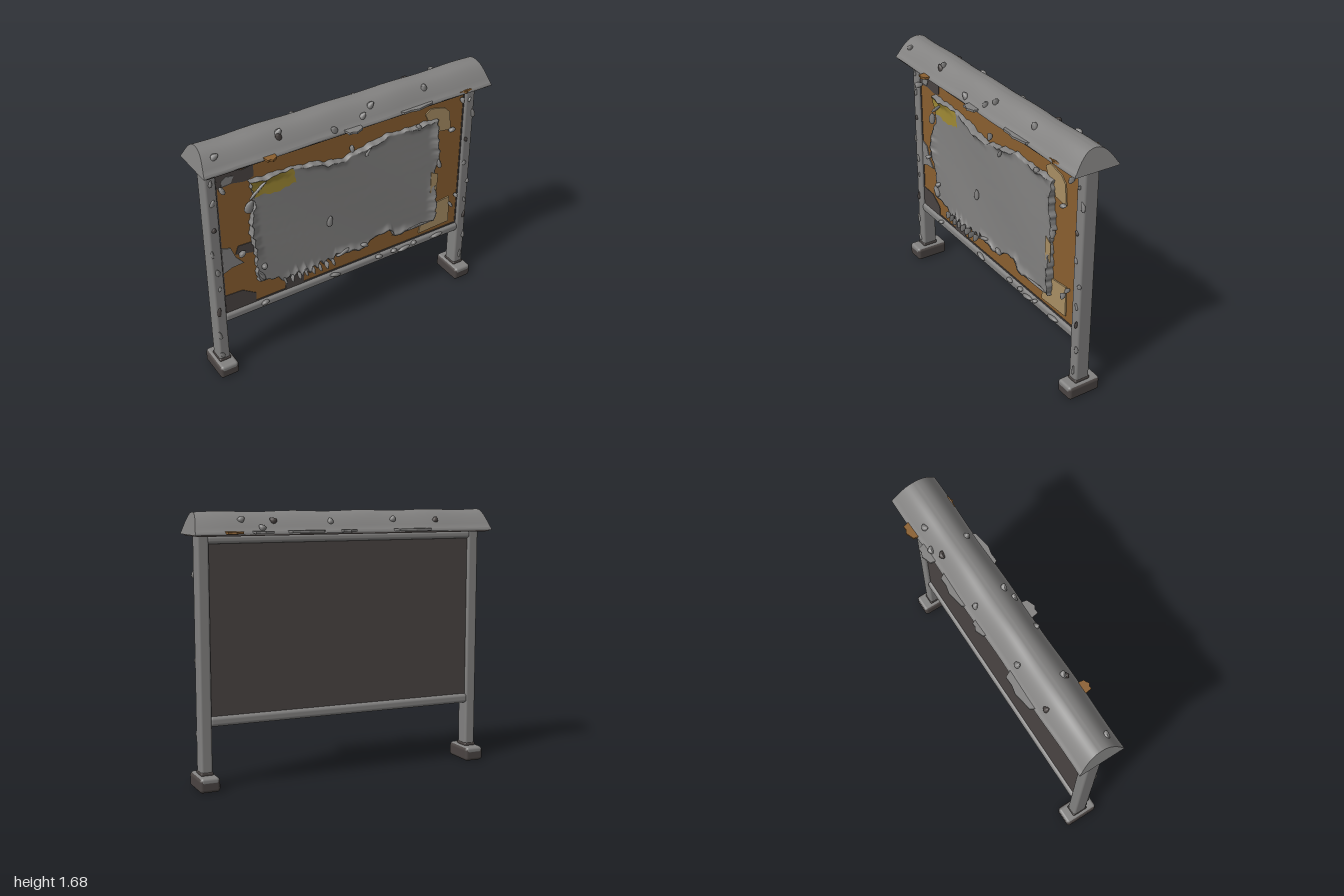
import * as THREE from 'three';
import { toCreasedNormals } from 'three/addons/utils/BufferGeometryUtils.js';
import { RoundedBoxGeometry } from 'three/addons/geometries/RoundedBoxGeometry.js';
import { ParametricGeometry } from 'three/addons/geometries/ParametricGeometry.js';

export function createModel() {
  const model = new THREE.Group();
  model.name = 'noticeBoard';
  const mat = (name, color) => {
    const m = new THREE.MeshStandardMaterial({ color, side: THREE.DoubleSide });
    m.name = name;
    return m;
  };
  const grey = mat('weatheredGrey', 0x828180);
  const dark = mat('darkBrownGrey', 0x4a4442);
  const wood = mat('rustyWood', 0x8a5f2f);
  const yellow = mat('fadedYellow', 0xa08a35);
  const beige = mat('agedBeige', 0xa88e64);

  const add = (name, geometry, material, x = 0, y = 0, z = 0) => {
    const mesh = new THREE.Mesh(geometry, material);
    mesh.name = name;
    mesh.position.set(x, y, z);
    model.add(mesh);
    return mesh;
  };
  const box = (name, material, w, h, d, x, y, z, r = 0.015) =>
    add(name, new RoundedBoxGeometry(w, h, d, 3, r), material, x, y, z);
  const outline = pts => new THREE.Shape(pts.map(p => new THREE.Vector2(p[0], p[1])));
  let seed = 7;
  const rand = () => (seed = (seed * 16807) % 2147483647) / 2147483647;

  // Piecewise linear lookup through [position, value] pairs
  const lookup = (pts, t) => {
    for (let i = 1; i < pts.length; i++) {
      const [a, va] = pts[i - 1], [b, vb] = pts[i];
      if (t <= b) return va + (vb - va) * Math.max(0, (t - a) / (b - a));
    }
    return pts[pts.length - 1][1];
  };

  // Posts, feet and rails
  for (const s of [-1, 1]) {
    box('post', grey, 0.073, 1.48, 0.1, s * 0.922, 0.81, 0);
    box('foot', dark, 0.13, 0.088, 0.224, s * 0.922, 0.044, 0, 0.02);
    box('footCap', grey, 0.118, 0.045, 0.226, s * 0.922, 0.07, 0, 0.018);
    box('postCollar', dark, 0.08, 0.025, 0.108, s * 0.922, 0.1, 0, 0.01);
  }
  box('bottomRail', grey, 1.8, 0.062, 0.1, 0, 0.418, 0, 0.022);
  box('topRail', grey, 1.8, 0.05, 0.1, 0, 1.512, 0, 0.02);

  // Board with a dark back
  add('boardFront', new THREE.BoxGeometry(1.78, 1.06, 0.025), wood, 0, 0.97, 0.018);
  add('boardBack', new THREE.BoxGeometry(1.78, 1.06, 0.035), dark, 0, 0.97, -0.012);
  for (const s of [-1, 1]) {
    add('boardSideGap', new THREE.BoxGeometry(0.01, 1.04, 0.006), dark, s * 0.882, 0.97, 0.031);
    add('boardEdgeGap', new THREE.BoxGeometry(1.77, 0.01, 0.006), dark, 0, 0.97 + s * 0.515, 0.031);
  }

  // Roof: arched profile swept along x, ends leaning inwards
  const roofProfile = new THREE.Shape();
  roofProfile.moveTo(-0.148, 1.542);
  roofProfile.lineTo(0.148, 1.542);
  roofProfile.quadraticCurveTo(0.15, 1.555, 0.137, 1.565);
  roofProfile.quadraticCurveTo(0.08, 1.66, 0.035, 1.673);
  roofProfile.quadraticCurveTo(0, 1.685, -0.035, 1.673);
  roofProfile.quadraticCurveTo(-0.08, 1.66, -0.137, 1.565);
  roofProfile.quadraticCurveTo(-0.15, 1.555, -0.148, 1.542);
  const roof = new THREE.ExtrudeGeometry(roofProfile, { depth: 2, steps: 40, bevelEnabled: false, curveSegments: 8 });
  roof.translate(0, 0, -1).rotateY(Math.PI / 2);
  const rp = roof.attributes.position;
  for (let i = 0; i < rp.count; i++) {
    const x = rp.getX(i), y = rp.getY(i), h = (y - 1.542) / 0.138;
    rp.setX(i, x * (1 - 0.03 * h));
    rp.setZ(i, rp.getZ(i) * (1 + 0.02 * Math.sin(x * 9)));
    rp.setY(i, y - 0.003 * h * (1 + Math.sin(x * 13)));
  }
  add('roof', toCreasedNormals(roof, 0.7), grey);
  add('roofUnderside', new THREE.BoxGeometry(1.96, 0.008, 0.28), dark, 0, 1.538, 0);

  // Torn paint flaps along the eaves: [x, side, length, reach, material]
  for (const [x, s, len, reach, m] of [
    [-0.42, -1, 0.28, 0.045, grey], [0.02, -1, 0.12, 0.03, grey], [0.3, -1, 0.26, 0.035, grey],
    [0.58, -1, 0.14, 0.045, grey], [0.76, -1, 0.12, 0.045, wood], [-0.59, 1, 0.08, 0.05, wood],
    [-0.03, 1, 0.12, 0.05, grey], [0.43, 1, 0.26, 0.028, grey], [0.8, 1, 0.1, 0.012, wood]]) {
    const z = 0.125, e = 0.145 + reach;
    const flap = new THREE.ExtrudeGeometry(outline([[-len / 2, z], [len / 2, z], [len * 0.42, e - 0.02],
      [len * 0.15, e - 0.008], [0, e], [-len * 0.2, e - 0.012], [-len * 0.4, e - 0.01]]),
      { depth: 0.014, bevelEnabled: false });
    flap.rotateX(Math.PI / 2);
    if (s < 0) flap.rotateY(Math.PI);
    add('eaveFlap', flap, m, x, 1.562, 0);
  }

  // Flat stains and scraps on the board
  const scrap = (name, material, pts, z = 0.031, depth = 0.004) =>
    add(name, new THREE.ExtrudeGeometry(outline(pts), { depth, bevelEnabled: false }), material, 0, 0, z);
  scrap('darkStain', dark, [[-0.88, 1.37], [-0.78, 1.38], [-0.7, 1.365], [-0.64, 1.38], [-0.64, 1.46], [-0.72, 1.45], [-0.78, 1.48], [-0.88, 1.48]]);
  scrap('greyStain', grey, [[-0.85, 1.385], [-0.79, 1.39], [-0.77, 1.43], [-0.82, 1.44], [-0.85, 1.42]], 0.036);
  scrap('darkStain', dark, [[-0.88, 0.45], [-0.67, 0.45], [-0.67, 0.52], [-0.76, 0.58], [-0.88, 0.585]]);
  scrap('darkStain', dark, [[-0.46, 0.45], [-0.33, 0.45], [-0.32, 0.53], [-0.46, 0.55]]);
  scrap('darkStain', dark, [[-0.79, 0.87], [-0.67, 0.84], [-0.66, 0.92], [-0.77, 0.925]]);
  scrap('paleScrap', grey, [[-0.88, 0.76], [-0.82, 0.785], [-0.74, 0.79], [-0.79, 0.85], [-0.82, 0.93], [-0.88, 0.95]], 0.032, 0.006);
  scrap('yellowScrap', yellow, [[-0.66, 0.87], [-0.62, 0.88], [-0.615, 0.92], [-0.66, 0.925]], 0.036);
  scrap('beigeScrap', beige, [[0.63, 0.81], [0.68, 0.81], [0.685, 0.94], [0.63, 0.97]], 0.062);
  scrap('beigeScrap', beige, [[0.58, 1.405], [0.62, 1.435], [0.73, 1.41], [0.77, 1.37], [0.785, 1.235], [0.68, 1.25], [0.65, 1.34], [0.6, 1.36]], 0.032, 0.008);
  scrap('beigeScrap', beige, [[0.57, 0.487], [0.815, 0.497], [0.81, 0.7], [0.67, 0.685], [0.67, 0.565], [0.58, 0.555]], 0.032, 0.009);

  // Torn notice sheet: edges follow four ragged lines and curl forward
  const topEdge = [[-0.68, 1.365], [-0.42, 1.36], [-0.2, 1.335], [-0.16, 1.315], [-0.03, 1.295], [0.1, 1.325], [0.28, 1.36], [0.42, 1.35], [0.67, 1.355]];
  const bottomEdge = [[-0.67, 0.62], [-0.53, 0.59], [-0.5, 0.545], [-0.44, 0.57], [-0.12, 0.57], [-0.11, 0.6], [0, 0.59], [0.06, 0.565], [0.14, 0.575], [0.2, 0.61], [0.3, 0.625], [0.33, 0.615], [0.345, 0.57], [0.67, 0.57]];
  const leftEdge = [[0, -0.66], [0.3, -0.665], [0.5, -0.69], [0.66, -0.68], [0.75, -0.65], [0.9, -0.66], [1, -0.68]];
  const rightEdge = [[0, 0.675], [0.3, 0.67], [0.5, 0.66], [0.6, 0.69], [0.7, 0.68], [0.8, 0.665], [1, 0.67]];
  const sheet = (u, v, out) => {
    const x0 = -0.67 + 1.34 * u;
    const ragged = Math.sin(x0 * 47) * 0.004 + Math.sin(x0 * 91) * 0.003;
    const teeth = x0 > -0.46 && x0 < -0.12 ? 0.022 * Math.sin(x0 * 105) : 0;
    const bottom = lookup(bottomEdge, x0) + ragged + teeth;
    const y = bottom + (lookup(topEdge, x0) + ragged - bottom) * v;
    const jag = 0.005 * Math.sin(v * 60) + 0.003 * Math.sin(v * 113);
    const left = lookup(leftEdge, v) + jag, right = lookup(rightEdge, v) - jag;
    const near = Math.max(0, 1 - Math.min(u, 1 - u, v * 0.7, (1 - v) * 0.7) / 0.05);
    const curl = near * near * 0.028 * (0.5 + 0.5 * Math.sin(x0 * 17 + y * 13));
    out.set(left + (right - left) * u, y, 0.056 + curl + 0.004 * Math.sin(x0 * 5 + y * 6));
  };
  const clamp = t => Math.min(1, Math.max(0, (t * 1.02) - 0.01));
  const notice = new ParametricGeometry((u, v, out) => {
    sheet(clamp(u), clamp(v), out);
    if (u <= 0 || u >= 1 || v <= 0 || v >= 1) out.z = 0.03;
  }, 150, 70);
  notice.computeVertexNormals();
  add('noticeSheet', notice, grey);
  const corner = new ParametricGeometry((u, v, out) => {
    const low = 0.83 + 0.03 * u + 0.012 * Math.sin(u * 9);
    sheet(0.215 * u, low + (1 - low) * v, out);
    out.z += 0.004;
  }, 30, 16);
  corner.computeVertexNormals();
  add('yellowCorner', corner, yellow);

  // Peeling chips: squashed, bent spheres
  const chip = (x, y, z, w, h, d, tilt = 0, material = grey) => {
    const g = new THREE.SphereGeometry(1, 10, 7);
    const p = g.attributes.position;
    for (let i = 0; i < p.count; i++) {
      const a = p.getX(i), b = p.getY(i);
      p.setXYZ(i, a * w * (1 - 0.4 * b), b * h, (p.getZ(i) + 0.5 * b * b) * d);
    }
    g.computeVertexNormals();
    add('peelingChip', g, material, x, y, z).rotation.z = tilt;
  };
  // Curls around the sheet and scraps
  for (const [x, y, w, h, d, t] of [
    [-0.69, 1.2, 0.03, 0.045, 0.015, -0.4], [-0.62, 1.3, 0.01, 0.09, 0.01, -0.9], [0.02, 1.36, 0.014, 0.025, 0.018, 0],
    [0.515, 1.35, 0.016, 0.022, 0.018, 0.2], [0.14, 1.3, 0.012, 0.04, 0.012, -0.6], [-0.14, 0.88, 0.022, 0.04, 0.012, -0.1],
    [0.78, 1.245, 0.025, 0.012, 0.018, 0.2], [-0.86, 1.375, 0.015, 0.02, 0.03, 0.3], [0.85, 1.44, 0.012, 0.02, 0.02, 0],
    [-0.64, 0.67, 0.014, 0.04, 0.03, 0.5], [-0.62, 0.73, 0.02, 0.015, 0.03, 0.9], [0.69, 1.02, 0.015, 0.035, 0.02, 0.2],
    [-0.05, 0.6, 0.05, 0.012, 0.02, 0.3], [0.12, 0.59, 0.03, 0.014, 0.02, -0.4], [0.5, 0.575, 0.16, 0.007, 0.012, 0],
    [0.85, 0.71, 0.012, 0.015, 0.02, 0], [0.81, 0.65, 0.01, 0.02, 0.02, 0.3], [-0.76, 0.88, 0.025, 0.015, 0.02, 0.6]])
    chip(x, y, 0.058, w, h, d, t);
  for (let i = 0; i < 8; i++) chip(-0.48 + i * 0.05, 0.565, 0.075, 0.009, 0.025, 0.018 + 0.012 * rand(), 0.5 * (rand() - 0.5));
  // Chips on the posts
  for (const s of [-1, 1])
    for (let i = 0; i < 9; i++)
      chip(s * (0.9 + 0.055 * rand()), 0.14 + i * 0.16 + 0.06 * rand(), 0.048, 0.008 + 0.008 * rand(), 0.015 + 0.02 * rand(), 0.012, rand() - 0.5, i % 4 === 2 ? dark : grey);
  // Chips on the bottom rail
  for (const x of [-0.62, -0.1, 0.24, 0.36, 0.44, 0.52, 0.71])
    chip(x, 0.425 + 0.015 * rand(), 0.052, 0.02 + 0.03 * rand(), 0.012, 0.018, rand() - 0.5);
  // Chips on both roof slopes
  for (const [x, y, z, m] of [[-0.5, 1.63, 0.09, dark], [-0.49, 1.65, 0.075, grey], [0.13, 1.64, 0.085, grey], [0.06, 1.6, 0.11, grey],
    [0.52, 1.64, 0.08, grey], [-0.9, 1.63, 0.085, grey], [-0.15, 1.58, 0.125, grey], [-0.6, 1.61, -0.105, dark],
    [-0.3, 1.62, -0.1, grey], [0.13, 1.61, -0.105, grey], [0.5, 1.62, -0.1, dark], [0.58, 1.58, -0.13, grey], [0.7, 1.63, -0.095, grey]])
    chip(x, y, z, 0.02, 0.025, 0.018, rand() * 2 - 1, m);
  chip(0.81, 1.556, 0.142, 0.05, 0.012, 0.008, 0, wood);

  return model;
}
